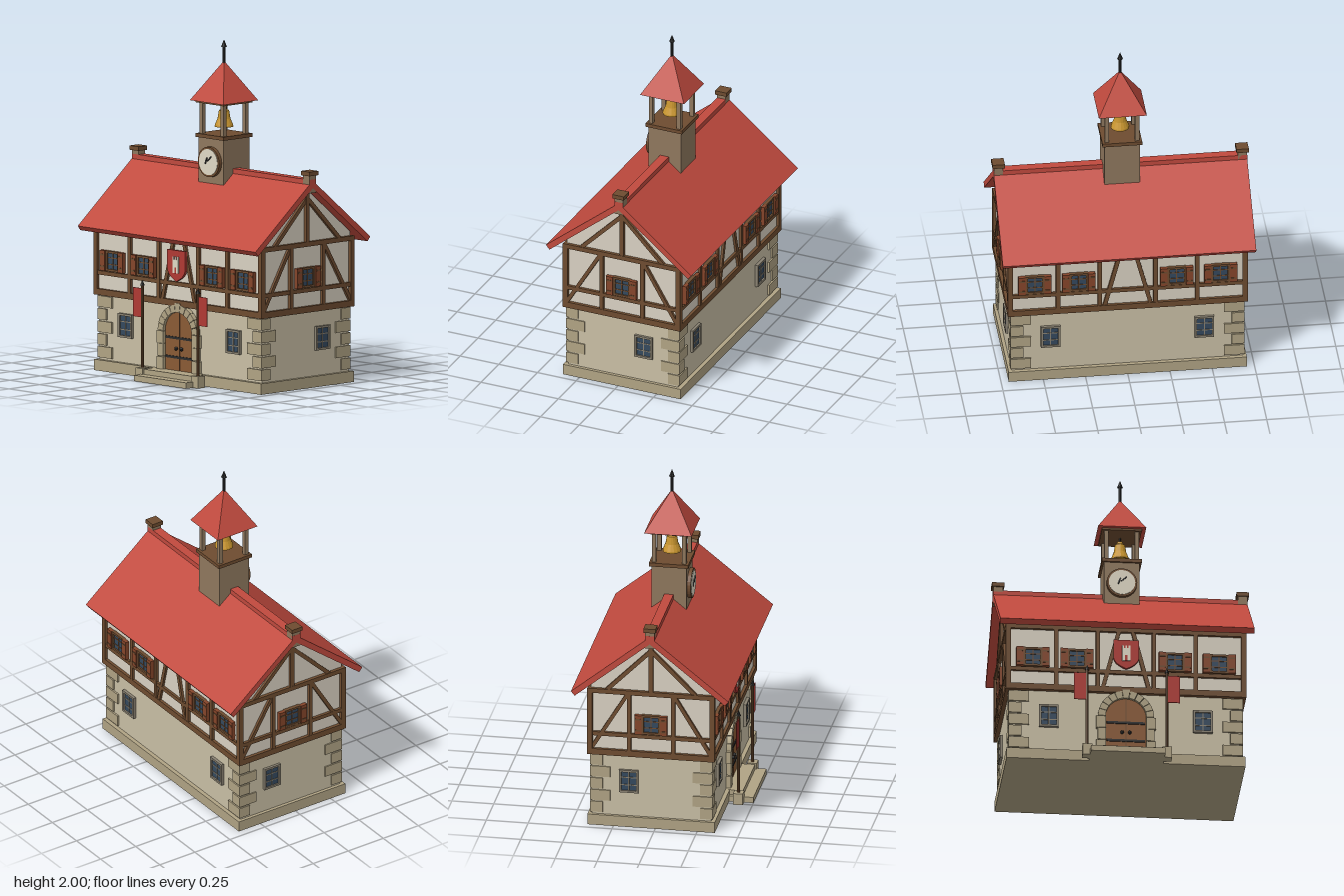
import * as THREE from 'three';

const C = {
  stone: 0xc9bfa5, trim: 0xb0a384, plaster: 0xd9d1c2, timber: 0x6e4c30, roof: 0xc04a3e, tower: 0x8f785e,
  glass: 0x34495e, frame: 0x8a8272, shutter: 0x85452a, door: 0x8a5a35, iron: 0x2b2b2b, gold: 0xc9962f,
  red: 0xb03a34, cream: 0xe0d9c6,
};
const mats = {};
const mat = (c) => (mats[c] ??= new THREE.MeshStandardMaterial({ color: C[c], flatShading: true }));

function add(parent, name, geo, color, x = 0, y = 0, z = 0) {
  const m = new THREE.Mesh(geo, mat(color));
  m.name = name;
  m.position.set(x, y, z);
  parent.add(m);
  return m;
}
// box spanning y0..y1
const box = (p, name, color, w, d, y0, y1, x = 0, z = 0) =>
  add(p, name, new THREE.BoxGeometry(w, y1 - y0, d), color, x, (y0 + y1) / 2, z);

// straight timber between two points on a facade
function beam(p, name, x0, y0, x1, y1, w, z, d = 0.025, color = 'timber') {
  const m = add(p, name, new THREE.BoxGeometry(w, Math.hypot(x1 - x0, y1 - y0), d), color, (x0 + x1) / 2, (y0 + y1) / 2, z);
  m.rotation.z = -Math.atan2(x1 - x0, y1 - y0);
  return m;
}
function shapeOf(pts) {
  return new THREE.Shape(pts.map(([x, y]) => new THREE.Vector2(x, y)));
}
const extrude = (shape, depth) => new THREE.ExtrudeGeometry(shape, { depth, bevelEnabled: false, curveSegments: 20 });
// outline in (z, y) swept along x, centred
function sweepX(pts, len) {
  return extrude(shapeOf(pts), len).translate(0, 0, -len / 2).rotateY(Math.PI / 2);
}
function group(parent, name, x = 0, y = 0, z = 0) {
  const g = new THREE.Group();
  g.name = name;
  g.position.set(x, y, z);
  parent.add(g);
  return g;
}

// glazed window with frame, glazing bars and optional shutters
function windowUnit(parent, x, y, z, w, h, color, shutters) {
  const g = group(parent, 'window', x, y, z), t = 0.013;
  box(g, 'glass', 'glass', w - t, 0.012, -h / 2 + t / 2, h / 2 - t / 2);
  for (const s of [-1, 1]) {
    box(g, 'frameSide', color, t, 0.03, -h / 2, h / 2, s * (w - t) / 2);
    box(g, 'frameRail', color, w, 0.03, s * (h - t) / 2 - t / 2, s * (h - t) / 2 + t / 2);
    if (shutters) {
      box(g, 'shutter', 'shutter', 0.042, 0.024, -h / 2, h / 2, s * (w / 2 + 0.021), 0.01);
      for (const k of [-1, 1]) box(g, 'shutterBatten', 'timber', 0.034, 0.03, k * 0.035 - 0.005, k * 0.035 + 0.005, s * (w / 2 + 0.021), 0.01);
    }
  }
  box(g, 'mullion', color, 0.006, 0.018, -h / 2, h / 2);
  for (const k of [-1, 1]) box(g, 'glazingBar', color, w, 0.018, k * h / 6 - 0.003, k * h / 6 + 0.003);
}

// long facade: timber frame and windows
function longFacade(parent) {
  const g = group(parent, 'longFacade');
  for (const s of [-1, 1]) {
    for (const x of [0.412, 0.165]) beam(g, 'post', s * x, 0.48, s * x, 0.86, 0.025, 0.366);
    beam(g, 'brace', s * 0.135, 0.485, s * 0.04, 0.855, 0.024, 0.364);
    for (const x of [0.55, 0.29]) windowUnit(g, s * x, 0.66, 0.368, 0.11, 0.12, 'timber', true);
    windowUnit(g, s * 0.455, 0.287, 0.358, 0.115, 0.142, 'frame', false);
  }
  beam(g, 'rail', -0.69, 0.583, 0.69, 0.583, 0.024, 0.365);
  return g;
}

// gable end: timber frame and windows
function gableEnd(parent, side) {
  const g = group(parent, 'gableEnd');
  for (const s of [-1, 1]) {
    beam(g, 'post', s * 0.132, 0.48, s * 0.132, 0.86, 0.024, 0.696);
    beam(g, 'brace', s * 0.355, 0.49, s * 0.14, 0.845, 0.022, 0.694);
    beam(g, 'gableBrace', s * 0.265, 0.865, 0, 1.13, 0.024, 0.694);
  }
  beam(g, 'kingPost', 0, 0.86, 0, 1.185, 0.026, 0.696);
  beam(g, 'rail', -0.37, 0.583, 0.37, 0.583, 0.024, 0.695);
  windowUnit(g, 0, 0.66, 0.698, 0.11, 0.12, 'timber', true);
  windowUnit(g, side * 0.135, 0.287, 0.686, 0.115, 0.142, 'frame', false);
  g.rotation.y = side * Math.PI / 2;
}

// arched double door with stone surround
function entrance(parent) {
  const g = group(parent, 'entrance', 0, 0, 0.35), r = 0.12, cy = 0.295;
  const leaf = new THREE.Shape();
  leaf.moveTo(-r, 0.065);
  leaf.lineTo(r, 0.065);
  leaf.lineTo(r, cy);
  leaf.absarc(0, cy, r, 0, Math.PI, false);
  add(g, 'door', extrude(leaf, 0.014), 'door');
  box(g, 'doorGap', 'timber', 0.005, 0.004, 0.065, cy + r - 0.005, 0, 0.015);
  for (const y of [0.145, 0.26]) box(g, 'doorStrap', 'iron', 0.226, 0.008, y - 0.007, y + 0.007, 0, 0.016);
  const n = 11;
  for (let i = 0; i < n; i++) {
    const a = Math.PI * (i + 0.03) / n, b = Math.PI * (i + 0.97) / n;
    const v = new THREE.Shape();
    v.absarc(0, cy, i === 5 ? 0.175 : 0.165, a, b, false);
    v.absarc(0, cy, r, b, a, true);
    add(g, 'archStone', extrude(v, 0.033), 'trim');
  }
  for (const s of [-1, 1]) {
    add(g, 'doorKnob', new THREE.SphereGeometry(0.011, 10, 8), 'iron', s * 0.022, 0.197, 0.02);
    [0.065, 0.143, 0.219].forEach((y, i) =>
      box(g, 'jambStone', 'trim', i === 1 ? 0.047 : 0.056, 0.066, y, y + 0.074, s * (r + (i === 1 ? 0.0235 : 0.028)), 0));
  }
}

// bell tower on the ridge
function bellTower(parent) {
  const g = group(parent, 'bellTower');
  box(g, 'towerShaft', 'tower', 0.21, 0.21, 1.08, 1.425);
  box(g, 'cornice', 'timber', 0.235, 0.235, 1.42, 1.442);
  for (const x of [-0.09, 0.09]) for (const z of [-0.09, 0.09]) box(g, 'belfryPost', 'tower', 0.025, 0.025, 1.44, 1.63, x, z);
  box(g, 'belfryBeam', 'timber', 0.235, 0.235, 1.625, 1.643);
  add(g, 'towerRoof', new THREE.ConeGeometry(0.142 * Math.SQRT2, 0.235, 4).rotateY(Math.PI / 4), 'roof', 0, 1.755, 0);
  add(g, 'finial', new THREE.CylinderGeometry(0.008, 0.008, 0.13, 8), 'iron', 0, 1.905, 0);
  add(g, 'finialTip', new THREE.ConeGeometry(0.017, 0.045, 8), 'iron', 0, 1.9775, 0);
  const bell = [[0, 1.6], [0.016, 1.6], [0.018, 1.585], [0.03, 1.578], [0.038, 1.53], [0.054, 1.492], [0.055, 1.482], [0.046, 1.482], [0, 1.57]];
  add(g, 'bell', new THREE.LatheGeometry(bell.reverse().map(([x, y]) => new THREE.Vector2(x, y)), 16), 'gold');
  add(g, 'bellHanger', new THREE.CylinderGeometry(0.006, 0.006, 0.04, 6), 'iron', 0, 1.615, 0);
  // clock
  const c = group(g, 'clock', 0, 1.283, 0.105);
  add(c, 'clockRim', new THREE.CylinderGeometry(0.09, 0.09, 0.024, 28).rotateX(Math.PI / 2), 'timber', 0, 0, 0.01);
  add(c, 'clockFace', new THREE.CylinderGeometry(0.078, 0.078, 0.01, 28).rotateX(Math.PI / 2), 'cream', 0, 0, 0.02);
  beam(c, 'hourHand', -0.024, -0.012, -0.008, 0.026, 0.009, 0.027, 0.005, 'iron');
  beam(c, 'minuteHand', -0.004, 0.006, 0.028, 0.035, 0.007, 0.028, 0.005, 'iron');
}

export function createModel() {
  const root = new THREE.Group();
  root.name = 'townHall';
  const h = group(root, 'house', 0, 0, -0.025);

  // masonry ground floor
  box(h, 'plinth', 'trim', 1.41, 0.76, 0, 0.065);
  box(h, 'stoneWalls', 'stone', 1.37, 0.71, 0.06, 0.455);
  for (const sx of [-1, 1]) for (const sz of [-1, 1]) for (let i = 0; i < 5; i++) {
    const w = i % 2 ? 0.075 : 0.12, d = i % 2 ? 0.12 : 0.075, y = 0.078 + i * 0.075;
    box(h, 'quoin', 'trim', w, d, y, y + 0.066, sx * (0.692 - w / 2), sz * (0.366 - d / 2));
  }

  // half-timbered upper floor with gables
  const wall = [[-0.362, 0.46], [0.362, 0.46], [0.362, 0.895], [0, 1.187], [-0.362, 0.895]];
  add(h, 'plasterWalls', sweepX(wall, 1.38), 'plaster');
  for (const [y0, y1] of [[0.45, 0.487], [0.842, 0.87]]) {
    for (const s of [-1, 1]) {
      box(h, 'longSill', 'timber', 1.42, 0.04, y0, y1, 0, s * 0.36);
      box(h, 'gableSill', 'timber', 0.04, 0.76, y0, y1, s * 0.69, 0);
    }
  }
  for (const x of [-0.695, 0.695]) for (const z of [-0.365, 0.365]) box(h, 'cornerPost', 'timber', 0.03, 0.03, 0.48, 0.86, x, z);
  longFacade(h);
  longFacade(h).rotation.y = Math.PI;
  gableEnd(h, 1);
  gableEnd(h, -1);

  // roof
  const slab = [[0, 1.238], [-0.47, 0.86], [-0.448, 0.833], [0, 1.193], [0.448, 0.833], [0.47, 0.86]];
  add(h, 'roof', sweepX(slab, 1.5), 'roof');
  box(h, 'ridgeCap', 'roof', 1.5, 0.055, 1.205, 1.245);
  for (const s of [-1, 1]) {
    box(h, 'ridgeEndBlock', 'tower', 0.055, 0.055, 1.165, 1.27, s * 0.722);
    box(h, 'ridgeEndCap', 'timber', 0.073, 0.073, 1.268, 1.293, s * 0.722);
  }
  bellTower(h);

  // entrance, steps and shield
  entrance(h);
  box(h, 'lowerStep', 'trim', 0.44, 0.2, 0, 0.035, 0, 0.425);
  box(h, 'upperStep', 'trim', 0.4, 0.12, 0.03, 0.066, 0, 0.4);
  const shield = new THREE.Shape();
  shield.moveTo(-0.075, 0.785);
  shield.lineTo(-0.075, 0.67);
  shield.quadraticCurveTo(-0.07, 0.63, 0, 0.6);
  shield.quadraticCurveTo(0.07, 0.63, 0.075, 0.67);
  shield.lineTo(0.075, 0.785);
  add(h, 'shield', extrude(shield, 0.016), 'red', 0, 0, 0.376);
  box(h, 'shieldTower', 'cream', 0.048, 0.008, 0.65, 0.73, 0, 0.394);
  for (const x of [-0.019, 0, 0.019]) box(h, 'shieldMerlon', 'cream', 0.01, 0.008, 0.73, 0.748, x, 0.394);
  box(h, 'shieldGate', 'red', 0.014, 0.008, 0.65, 0.685, 0, 0.396);

  // banner poles
  for (const s of [-1, 1]) {
    const p = group(h, 'bannerPole', s * 0.235, 0, 0.44);
    box(p, 'poleBase', 'trim', 0.058, 0.058, 0, 0.07);
    add(p, 'pole', new THREE.CylinderGeometry(0.009, 0.009, 0.5, 8), 'timber', 0, 0.315, 0);
    add(p, 'poleTip', new THREE.ConeGeometry(0.014, 0.035, 8), 'iron', 0, 0.575, 0);
    box(p, 'banner', 'red', 0.072, 0.006, 0.368, 0.54, s * 0.042);
  }
  return root;
}
